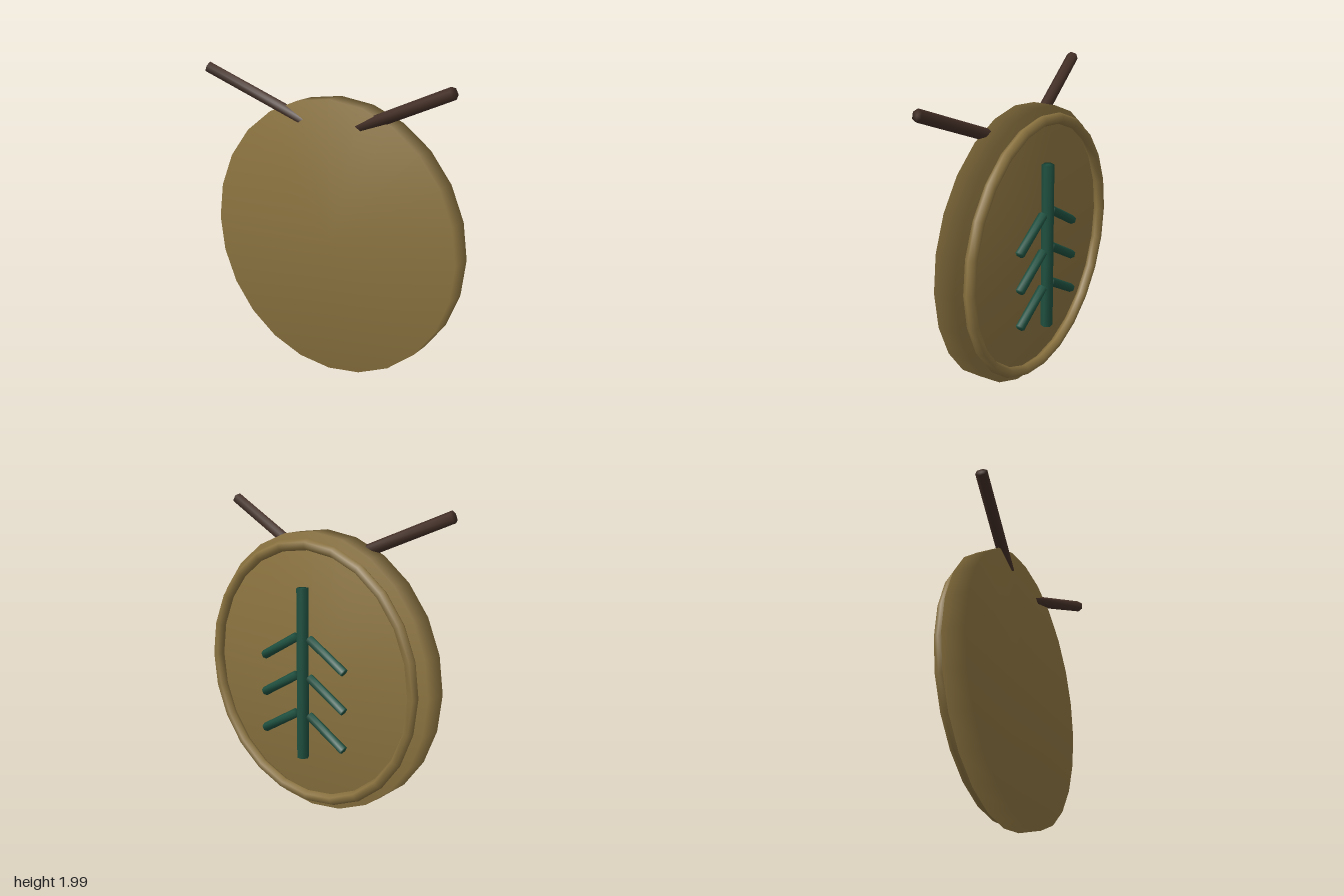
import * as THREE from 'three';
import { mergeVertices } from 'three/addons/utils/BufferGeometryUtils.js';

const GOLD = new THREE.MeshStandardMaterial({ color: 0x8b7340 });
const BROWN = new THREE.MeshStandardMaterial({ color: 0x432f26 });
const GREEN = new THREE.MeshStandardMaterial({ color: 0x1f5040 });
const CENTER_Y = 0.917;

// Weld shared corners so the shading rolls softly over every edge
function soften(geometry) {
  geometry.deleteAttribute('uv');
  geometry.deleteAttribute('normal');
  const welded = mergeVertices(geometry);
  welded.computeVertexNormals();
  return welded;
}

function addMesh(parent, name, geometry, material) {
  const mesh = new THREE.Mesh(soften(geometry), material);
  mesh.name = name;
  parent.add(mesh);
  return mesh;
}

// Six-sided rod between two points
function addRod(parent, name, from, to, radius, material) {
  const a = new THREE.Vector3(...from);
  const b = new THREE.Vector3(...to);
  const length = a.distanceTo(b);
  const geometry = new THREE.CylinderGeometry(radius, radius, length, 6);
  geometry.rotateY(Math.PI / 6);
  const rod = addMesh(parent, name, geometry, material);
  rod.position.copy(a).add(b).multiplyScalar(0.5);
  rod.quaternion.setFromUnitVectors(new THREE.Vector3(0, 1, 0), b.sub(a).normalize());
  return rod;
}

export function createModel() {
  const model = new THREE.Group();
  model.name = 'roundShield';

  // Thick round body
  const body = addMesh(model, 'disc', new THREE.CylinderGeometry(0.91, 0.91, 0.15, 24).rotateX(Math.PI / 2), GOLD);
  body.position.set(0, CENTER_Y, 0.002);

  // Raised ring behind the body
  const ring = addMesh(model, 'backRing', new THREE.TorusGeometry(0.834, 0.036, 6, 24), GOLD);
  ring.position.set(0, CENTER_Y, -0.118);

  // Tree emblem: upright stem with three pairs of drooping branches
  const emblem = new THREE.Group();
  emblem.name = 'treeEmblem';
  model.add(emblem);
  addRod(emblem, 'stem', [0, 0.363, -0.162], [0, 1.483, -0.162], 0.04, GREEN);
  for (const y of [0.575, 0.828, 1.08]) {
    for (const side of [1, -1]) {
      addRod(emblem, 'branch', [side * 0.055, y + 0.083, -0.16], [side * 0.341, y - 0.083, -0.16], 0.03, GREEN);
    }
  }

  // Two sticks slanting up, out and forward from the top of the disc
  for (const side of [1, -1]) {
    addRod(model, side > 0 ? 'leftStick' : 'rightStick',
      [side * 0.15, 1.645, 0.033], [side * 0.895, 1.963, 0.152], 0.039, BROWN);
  }
  return model;
}
